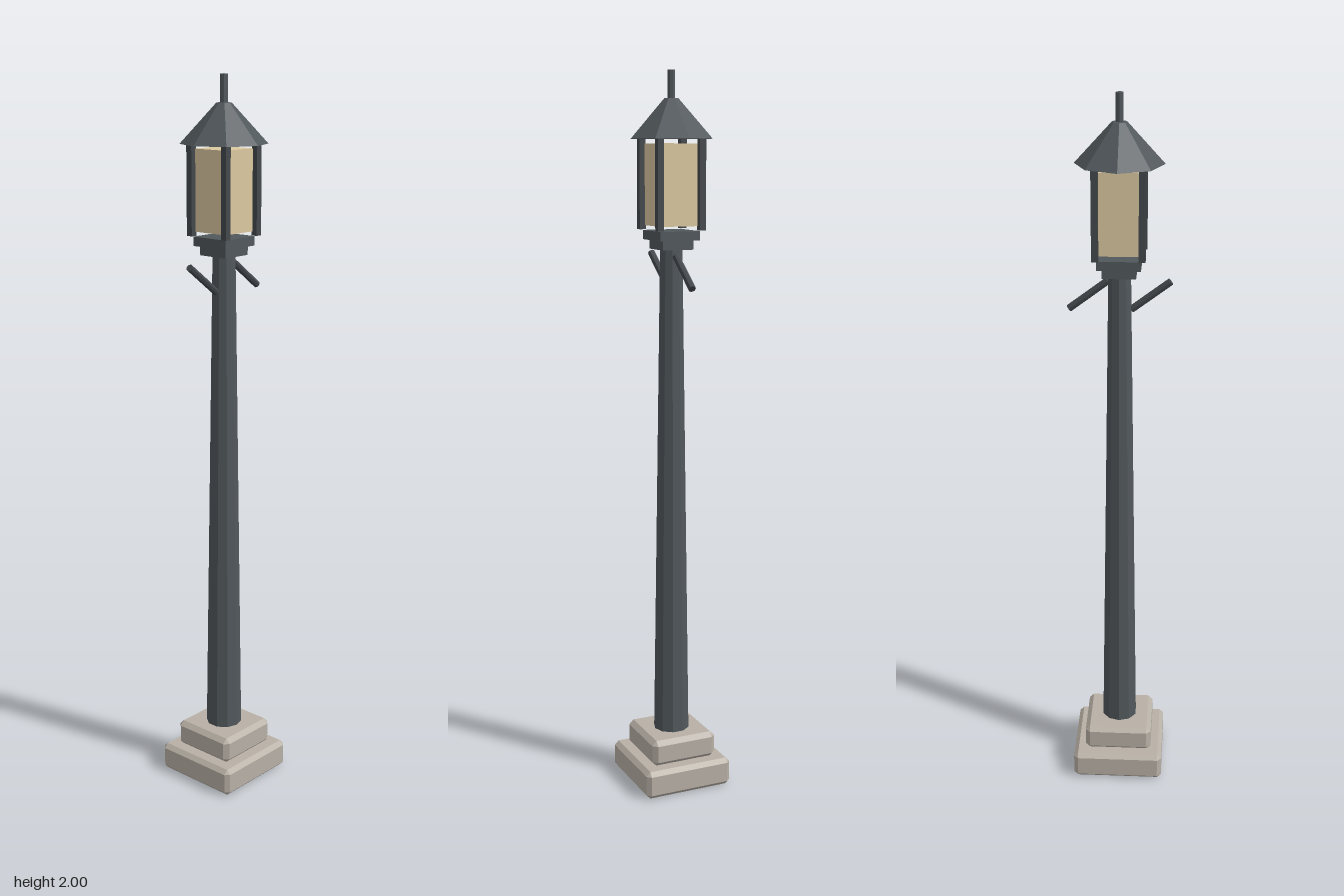
import * as THREE from 'three';
import { ConvexGeometry } from 'three/addons/geometries/ConvexGeometry.js';

const mat = (color) => new THREE.MeshStandardMaterial({ color, flatShading: true });

// Box with every edge and corner cut by c
function chamferBox(w, h, d, c) {
  const points = [];
  for (const x of [-w / 2, w / 2])
    for (const y of [-h / 2, h / 2])
      for (const z of [-d / 2, d / 2]) {
        const ix = x - Math.sign(x) * c, iy = y - Math.sign(y) * c, iz = z - Math.sign(z) * c;
        points.push(
          new THREE.Vector3(x, iy, iz),
          new THREE.Vector3(ix, y, iz),
          new THREE.Vector3(ix, iy, z));
      }
  return new ConvexGeometry(points);
}

export function createModel() {
  const group = new THREE.Group();
  const stone = mat(0xb8b0a6);
  const metal = mat(0x51585c);
  const frame = mat(0x44494d);
  const glass = mat(0xdcc9a0);

  const add = (name, geometry, material, x, y, z) => {
    const mesh = new THREE.Mesh(geometry, material);
    mesh.name = name;
    mesh.position.set(x, y, z);
    group.add(mesh);
    return mesh;
  };
  // Parts centred on the axis, given by their bottom and top heights
  const block = (name, w, y0, y1, material) =>
    add(name, new THREE.BoxGeometry(w, y1 - y0, w), material, 0, (y0 + y1) / 2, 0);
  const column = (name, rTop, rBottom, y0, y1, sides) =>
    add(name, new THREE.CylinderGeometry(rTop, rBottom, y1 - y0, sides), metal, 0, (y0 + y1) / 2, 0);

  // Stepped stone base
  add('lowerPlinth', chamferBox(0.26, 0.08, 0.26, 0.012), stone, 0, 0.044, 0).position.y = 0.04;
  add('upperPlinth', chamferBox(0.194, 0.075, 0.194, 0.013), stone, 0, 0.116, 0);

  // Tapered pole
  column('pole', 0.031, 0.051, 0.14, 1.535, 10);

  // Slanted rods, both sloping down towards +x
  for (const [name, x] of [['leftRod', 0.083], ['rightRod', -0.083]]) {
    const rod = add(name, new THREE.CylinderGeometry(0.01, 0.01, 0.13, 8), frame, x, 1.473, 0);
    rod.rotation.z = THREE.MathUtils.degToRad(53);
  }

  // Square collar under the lantern
  block('lowerCollar', 0.09, 1.53, 1.558, metal);
  block('upperCollar', 0.116, 1.555, 1.58, metal);

  // Glass with a post at each corner
  block('lanternGlass', 0.11, 1.593, 1.81, glass);
  for (const x of [-0.061, 0.061])
    for (const z of [-0.061, 0.061])
      add('lanternPost', new THREE.BoxGeometry(0.018, 0.246, 0.018), frame, x, 1.705, z);

  // Eight-sided roof and finial
  column('roof', 0.02, 0.117, 1.822, 1.927, 8);
  column('finial', 0.01, 0.01, 1.92, 2, 8);

  return group;
}
